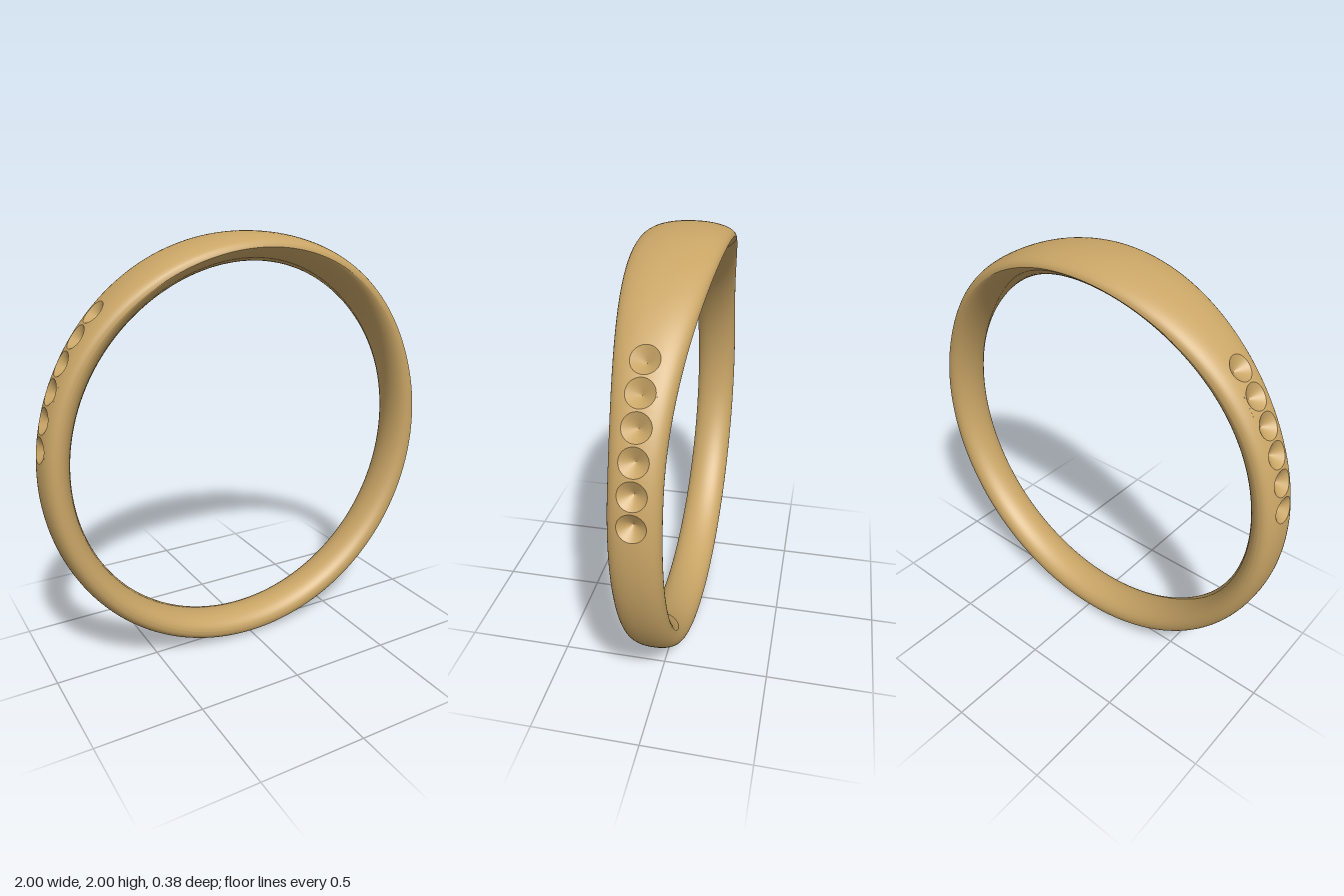
import * as THREE from 'three';

const STEPS = 400;                 // segments round the band
const EDGE = 0.94;                 // radius of the band's side edges
const CELL = THREE.MathUtils.degToRad(7.2);   // angle taken by one seat
const STRIP = 0.0628;              // half width of the strip holding the seats
const SEAT_RADIUS = 0.058, SEAT_DEPTH = 0.045;
const FIRST_CELL = 47, SEATS = 6, CELL_STEPS = 8;

// 1 at the top of the band, fading to 0 down the shoulders
const swell = (a) => {
  const t = Math.min(Math.abs(Math.atan2(Math.sin(a), Math.cos(a))) / THREE.MathUtils.degToRad(75), 1);
  return Math.cos(t * Math.PI / 2) ** 2;
};
const halfWidth = (a) => 0.105 + 0.087 * swell(a);

// Angle a runs from the top towards +x
const place = (a, r, z) => new THREE.Vector3(r * Math.sin(a), 1 + r * Math.cos(a), z);

function outerPoint(a, z) {
  const s = Math.min(Math.abs(z) / halfWidth(a), 1), n = 2.4 - 0.3 * swell(a);
  return place(a, EDGE + 0.06 * (1 - s ** n) ** (1 / n), z);
}

function innerPoint(a, z) {
  const s = Math.min(Math.abs(z) / halfWidth(a), 1);
  return place(a, EDGE - 0.07 * (1 - s * s) ** (0.5 + 0.4 * swell(a)), z);
}

// Surface closed along its rows; skip(i, j) leaves quads out but keeps smooth normals
function loopGrid(rows, cols, point, skip) {
  const pos = [], all = [], kept = [];
  for (let i = 0; i < rows; i++) {
    for (let j = 0; j <= cols; j++) pos.push(...point(i, j).toArray());
    for (let j = 0; j < cols; j++) {
      const a = i * (cols + 1) + j, c = ((i + 1) % rows) * (cols + 1) + j;
      const quad = [a, a + 1, c, a + 1, c + 1, c];
      all.push(...quad);
      if (!skip || !skip(i, j)) kept.push(...quad);
    }
  }
  const g = new THREE.BufferGeometry();
  g.setAttribute('position', new THREE.Float32BufferAttribute(pos, 3));
  g.setIndex(all);
  g.computeVertexNormals();
  g.setIndex(kept);
  return g;
}

// Across the outside: rounded flank, flat-spaced strip, rounded flank
function outerZ(a, j) {
  const w = halfWidth(a), k = j - 12;
  if (Math.abs(k) <= 4) return STRIP * k / 4;
  return Math.sign(k) * w * Math.cos(Math.acos(STRIP / w) * (12 - Math.abs(k)) / 8);
}

export function createModel() {
  const ring = new THREE.Group();
  ring.name = 'ring';
  const gold = new THREE.MeshStandardMaterial({ color: 0xc9a566 });
  const add = (name, geometry, parent = ring) => {
    const mesh = new THREE.Mesh(geometry, gold);
    mesh.name = name;
    parent.add(mesh);
  };
  const angle = (i) => i / STEPS * Math.PI * 2;

  // Outside of the band, open where the seats go
  const first = FIRST_CELL, last = first + SEATS * CELL_STEPS;
  const isSeat = (i, j) => {
    const m = Math.min(i, STEPS - 1 - i);
    return j >= 8 && j < 16 && m >= first && m < last;
  };
  add('bandOutside', loopGrid(STEPS, 24, (i, j) => outerPoint(angle(i), outerZ(angle(i), j)), isSeat));

  // Rounded inside of the band
  add('bandInside', loopGrid(STEPS, 24, (i, j) =>
    innerPoint(angle(i), halfWidth(angle(i)) * Math.cos(j / 24 * Math.PI))));

  // Six conical seats down each shoulder, each in its own square of the band
  const AROUND = 64;
  for (const side of [1, -1]) {
    const row = new THREE.Group();
    row.name = side > 0 ? 'leftSeats' : 'rightSeats';
    ring.add(row);
    for (let n = 0; n < SEATS; n++) {
      const mid = side * angle(first + (n + 0.5) * CELL_STEPS);
      // blend 0 is the square border, 1 the round rim
      const land = (i, blend) => {
        const q = Math.floor(i / 16), t = (i % 16) / 8 - 1;
        const [u, v] = [[1, t], [-t, 1], [-1, -t], [t, -1]][q];
        const len = Math.hypot(u, v);
        const mix = (p, half) => THREE.MathUtils.lerp(p * half, p / len * SEAT_RADIUS, blend);
        return outerPoint(mid + mix(u, CELL / 2), mix(v, STRIP));
      };
      const tip = place(mid, 1 - SEAT_DEPTH, 0);
      add('seatSurround', loopGrid(AROUND, 2, (i, j) => land(i, j / 2)), row);
      add('seatHollow', loopGrid(AROUND, 4, (i, j) => land(i, 1).lerp(tip, j / 4)), row);
    }
  }
  return ring;
}
